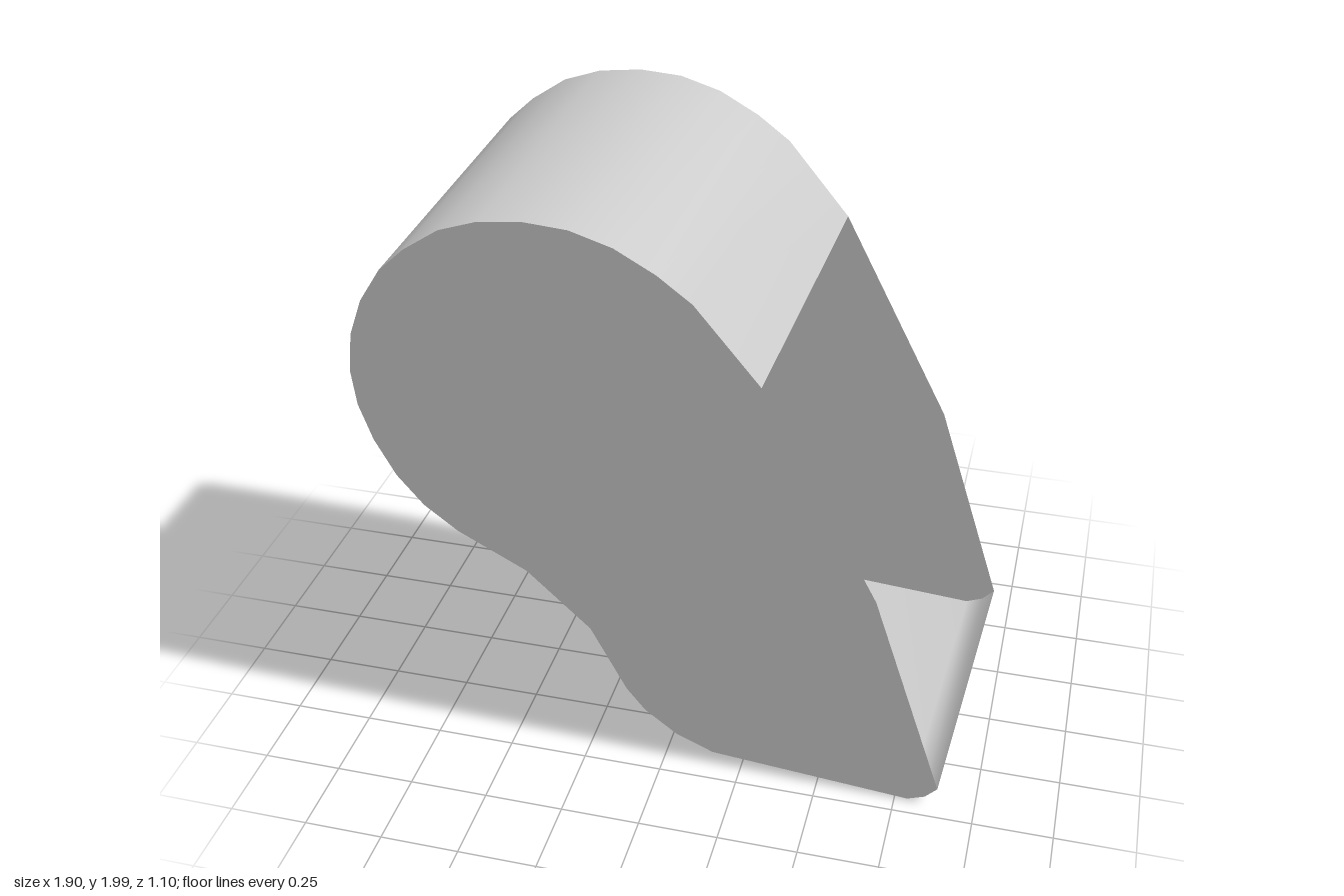
import * as THREE from 'three';

// Front outline: from the upper lip of the opening, around the bowl and heel, to the lower lip
const WALL = [
  [0.315, 1.495], [0.125, 1.73], [0.025, 1.805], [-0.095, 1.87], [-0.22, 1.905], [-0.35, 1.91],
  [-0.485, 1.89], [-0.605, 1.845], [-0.72, 1.765], [-0.805, 1.685], [-0.88, 1.57], [-0.93, 1.445],
  [-0.952, 1.31], [-0.945, 1.19], [-0.91, 1.065], [-0.85, 0.94], [-0.77, 0.84], [-0.665, 0.76],
  [-0.445, 0.65], [-0.245, 0.458], [-0.135, 0.225], [-0.075, 0.145], [0.03, 0.065], [0.15, 0.018],
  [0.79, 0.003], [0.845, 0.03], [0.882, 0.075],
];
const OPEN_EDGE = [0.66, 0.8]; // bend in the open side
const DEPTH = new THREE.Vector3(0.066, 0.087, -0.945); // front plate to back plate

// The plates lie in a slightly tilted plane
const planeZ = (x, y) => 0.385 + 0.068 * x + 0.09 * y;

function plateGeometry() {
  const outline = [...WALL, OPEN_EDGE].map(([x, y]) => new THREE.Vector2(x, y));
  const geo = new THREE.ShapeGeometry(new THREE.Shape(outline));
  const p = geo.attributes.position;
  for (let i = 0; i < p.count; i++) p.setZ(i, planeZ(p.getX(i), p.getY(i)));
  geo.computeVertexNormals();
  return geo;
}

// Smooth strip swept from the front outline to the back one
function wallGeometry() {
  const positions = [], index = [];
  WALL.forEach(([x, y], i) => {
    const front = new THREE.Vector3(x, y, planeZ(x, y));
    positions.push(...front.toArray(), ...front.add(DEPTH).toArray());
    if (i < WALL.length - 1) {
      const a = 2 * i;
      index.push(a, a + 2, a + 1, a + 1, a + 2, a + 3);
    }
  });
  const geo = new THREE.BufferGeometry();
  geo.setAttribute('position', new THREE.Float32BufferAttribute(positions, 3));
  geo.setIndex(index);
  // Turn the strip outwards
  for (let i = 0; i < index.length; i += 3) [index[i + 1], index[i + 2]] = [index[i + 2], index[i + 1]];
  geo.setIndex(index);
  geo.computeVertexNormals();
  return geo;
}

export function createModel() {
  const group = new THREE.Group();
  const material = new THREE.MeshStandardMaterial({ color: 0xcccccc, side: THREE.DoubleSide });
  const add = (name, geo) => {
    const mesh = new THREE.Mesh(geo, material);
    mesh.name = name;
    group.add(mesh);
    return mesh;
  };

  add('frontPlate', plateGeometry());

  // Back plate: same outline, winding reversed to face backwards
  const back = plateGeometry();
  back.index.array.reverse();
  back.computeVertexNormals();
  back.translate(DEPTH.x, DEPTH.y, DEPTH.z);
  add('backPlate', back);

  add('curvedWall', wallGeometry());
  return group;
}
